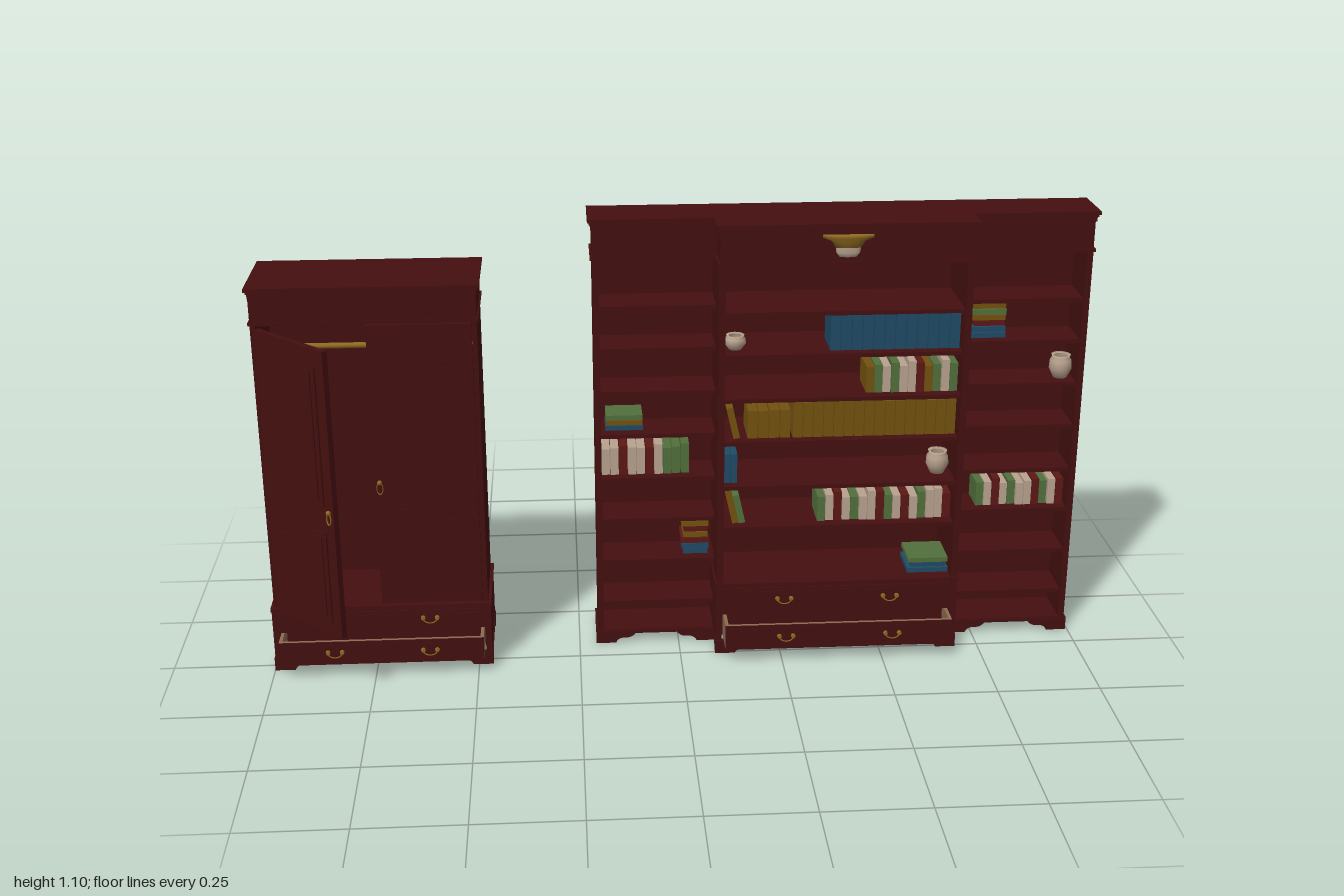
import * as THREE from 'three';

const mat = (name, color, side = THREE.FrontSide) => {
  const m = new THREE.MeshStandardMaterial({ color, side });
  m.name = name;
  return m;
};

export function createModel() {
  const wood = mat('mahogany', 0x450f10);
  const tan = mat('drawerWood', 0x8c6b52);
  const brass = mat('brass', 0x8f6a20);
  const gold = mat('goldCover', 0x74520f);
  const blue = mat('blueCover', 0x1f4b66);
  const green = mat('greenCover', 0x52703c);
  const cream = mat('cream', 0xb8a28e, THREE.DoubleSide);
  const red = mat('redCover', 0x5c1714);
  const root = new THREE.Group();

  const group = (name, parent = root) => {
    const g = new THREE.Group();
    g.name = name;
    parent.add(g);
    return g;
  };
  const mesh = (name, geo, m, parent) => {
    const o = new THREE.Mesh(geo, m);
    o.name = name;
    parent.add(o);
    return o;
  };
  // Box from its limits on each axis
  const box = (name, m, x0, x1, y0, y1, z0, z1, parent) => {
    const o = mesh(name, new THREE.BoxGeometry(x1 - x0, y1 - y0, z1 - z0), m, parent);
    o.position.set((x0 + x1) / 2, (y0 + y1) / 2, (z0 + z1) / 2);
    return o;
  };

  // Scalloped apron with a bracket foot at each end, standing on y = 0
  function apron(w, foot, t = 0.012, h = 0.034) {
    const s = new THREE.Shape();
    s.moveTo(0, h);
    s.lineTo(0, 0);
    s.lineTo(foot * 0.55, 0);
    s.quadraticCurveTo(foot * 0.6, h * 0.45, foot * 0.85, h * 0.4);
    s.quadraticCurveTo(foot, h * 0.4, foot * 1.1, h * 0.75);
    s.lineTo(w - foot * 1.1, h * 0.75);
    s.quadraticCurveTo(w - foot, h * 0.4, w - foot * 0.85, h * 0.4);
    s.quadraticCurveTo(w - foot * 0.6, h * 0.45, w - foot * 0.55, 0);
    s.lineTo(w, 0);
    s.lineTo(w, h);
    return new THREE.ExtrudeGeometry(s, { depth: t, bevelEnabled: false, curveSegments: 6 });
  }
  function feet(x0, x1, z0, z1, parent) {
    const t = 0.012;
    for (const z of [z0, z1 - t]) mesh('footApron', apron(x1 - x0, 0.09), wood, parent).position.set(x0, 0, z);
    for (const x of [x0, x1 - t]) {
      const o = mesh('sideApron', apron(z1 - z0, 0.045), wood, parent);
      o.rotation.y = -Math.PI / 2;
      o.position.set(x + t, 0, z0);
    }
  }
  // Stepped moulding that widens upward
  function cornice(x0, x1, z0, z1, y, parent) {
    [[0.003, 0.012], [0.006, 0.006], [0.01, 0.008]].forEach(([o, h]) => {
      box('cornice', wood, x0 - o, x1 + o, y, y + h, z0 - o, z1 + o, parent);
      y += h;
    });
  }
  // Brass bail pull
  function pull(x, y, z, parent) {
    const g = group('drawerPull', parent);
    g.position.set(x, y, z);
    const bail = mesh('bail', new THREE.TorusGeometry(0.017, 0.002, 6, 12, Math.PI), brass, g);
    bail.rotation.z = Math.PI;
    bail.scale.y = 0.75;
    bail.position.z = 0.005;
    for (const s of [-1, 1]) {
      const r = mesh('rosette', new THREE.CylinderGeometry(0.005, 0.006, 0.006, 10), brass, g);
      r.rotation.x = Math.PI / 2;
      r.position.set(s * 0.017, 0, 0.003);
    }
  }
  // Closed drawer front, or an open tray with a thin wooden front
  function drawer(x0, x1, y0, y1, z, out, pulls, parent) {
    const g = group('drawer', parent), f = z + out, t = 0.008;
    if (out > 0.02) {
      box('drawerBottom', tan, x0, x1, y0, y0 + 0.006, z - 0.1, f, g);
      for (const x of [x0, x1 - t]) box('drawerSide', tan, x, x + t, y0, y1, z - 0.1, f, g);
      box('drawerInnerFront', tan, x0, x1, y0, y1, f - t, f, g);
    }
    box('drawerFront', wood, x0, x1, y0, y1, f, f + 0.004, g);
    box('drawerField', wood, x0 + 0.01, x1 - 0.01, y0 + 0.008, y1 - 0.008, f, f + 0.006, g);
    for (const x of pulls) pull(x, (y0 + y1) / 2 + 0.004, f + 0.006, g);
  }

  // ---- Wardrobe ----
  const W = group('wardrobe');
  feet(-1, -0.465, -0.205, 0.027, W);
  box('base', wood, -0.998, -0.467, 0.032, 0.1, -0.203, -0.02, W);
  box('baseUpper', wood, -0.998, -0.467, 0.1, 0.158, -0.203, 0.024, W);
  for (const x of [-0.998, -0.482]) box('baseStile', wood, x, x + 0.015, 0.03, 0.1, -0.03, 0.024, W);
  box('baseLedge', wood, -1, -0.465, 0.158, 0.167, -0.205, 0.027, W);
  drawer(-0.98, -0.485, 0.107, 0.153, 0.024, 0, [-0.845, -0.615], W);
  drawer(-0.98, -0.485, 0.036, 0.096, 0.024, 0.046, [-0.845, -0.615], W);
  box('backPanel', wood, -0.992, -0.473, 0.165, 0.96, -0.2, -0.188, W);
  for (const x of [-0.992, -0.485]) box('sidePanel', wood, x, x + 0.012, 0.165, 0.96, -0.2, 0.018, W);
  box('frieze', wood, -0.992, -0.473, 0.885, 0.96, -0.2, 0.018, W);
  box('friezeBead', wood, -0.996, -0.469, 0.885, 0.893, -0.204, 0.022, W);
  cornice(-0.99, -0.475, -0.2, 0.017, 0.949, W);
  const rod = mesh('hangingRail', new THREE.CylinderGeometry(0.007, 0.007, 0.5, 12), brass, W);
  rod.rotation.z = Math.PI / 2;
  rod.position.set(-0.732, 0.8, -0.085);

  // Raised panel whose top sweeps up toward the meeting edge
  function sweptPanel(s, inset, y0, yLow, yHigh, depth) {
    const a = (0.035 + inset) * s, b = (0.215 - inset) * s, p = new THREE.Shape();
    p.moveTo(a, y0 + inset);
    p.lineTo(b, y0 + inset);
    p.lineTo(b, yHigh - inset);
    p.bezierCurveTo(0.12 * s, yHigh - inset, 0.13 * s, yLow - inset, a, yLow - inset);
    return new THREE.ExtrudeGeometry(p, { depth, bevelEnabled: false, curveSegments: 10 });
  }
  function door(name, s, x, z, angle) {
    const g = group(name, W), e = 0.244 * s;
    g.position.set(x, 0, z);
    g.rotation.y = angle;
    box('doorLeaf', wood, Math.min(0, e), Math.max(0, e), 0.17, 0.88, -0.007, 0.004, g);
    for (const [y0, lo, hi] of [[0.5, 0.79, 0.84], [0.205, 0.39, 0.435]]) {
      mesh('panelMoulding', sweptPanel(s, 0, y0, lo, hi, 0.004), wood, g).position.z = 0.004;
      mesh('raisedPanel', sweptPanel(s, 0.014, y0, lo, hi, 0.007), wood, g).position.z = 0.004;
    }
    // Inner frame
    for (const y of [0.17, 0.86]) box('innerRail', wood, Math.min(0, e), Math.max(0, e), y, y + 0.02, -0.01, -0.007, g);
    for (const u of [0, 0.224]) {
      const c = (u + 0.01) * s;
      box('innerStile', wood, c - 0.01, c + 0.01, 0.17, 0.88, -0.01, -0.007, g);
    }
    const h = mesh('doorPull', new THREE.TorusGeometry(0.015, 0.002, 6, 12), brass, g);
    h.scale.x = 0.5;
    h.position.set(0.232 * s, 0.475, 0.009);
    mesh('knob', new THREE.SphereGeometry(0.006, 10, 8), brass, g).position.set(0.232 * s, 0.49, 0.009);
  }
  door('openDoor', 1, -0.978, 0.028, -Math.PI / 4);
  door('closedDoor', -1, -0.486, 0.014, 0);

  // ---- Bookcase ----
  const B = group('bookcase');
  const wings = [[-0.203, 0.09], [0.69, 0.99]];
  const levels = [0.337, 0.445, 0.56, 0.67, 0.78, 0.885];
  box('backPanel', wood, -0.203, 0.99, 0.03, 1.0, -0.195, -0.183, B);
  for (const [x0, x1] of wings) {
    feet(x0 - 0.005, x1 + 0.005, -0.198, -0.066, B);
    for (const y of [0.036, 0.112, 0.225, ...levels])
      box('wingShelf', wood, x0, x1, y - 0.01, y, -0.185, -0.075, B);
    box('wingPlinth', wood, x0, x1, 0.024, 0.036, -0.198, -0.07, B);
  }
  for (const x of [-0.203, 0.975]) box('outerSide', wood, x, x + 0.015, 0.03, 1.0, -0.195, -0.07, B);
  for (const x of [0.09, 0.674]) box('centreSide', wood, x, x + 0.016, 0.18, 1.0, -0.195, 0.003, B);
  for (const y of levels) box('centreShelf', wood, 0.1, 0.68, y - 0.01, y, -0.185, -0.005, B);

  // Centre drawer section
  feet(0.087, 0.693, -0.199, 0.008, B);
  box('centreBase', wood, 0.088, 0.692, 0.032, 0.105, -0.197, -0.03, B);
  box('centreBaseUpper', wood, 0.088, 0.692, 0.105, 0.182, -0.197, 0.003, B);
  for (const x of [0.088, 0.677]) box('baseStile', wood, x, x + 0.015, 0.03, 0.105, -0.04, 0.003, B);
  box('centreLedge', wood, 0.086, 0.694, 0.182, 0.19, -0.197, 0.008, B);
  drawer(0.108, 0.672, 0.112, 0.176, 0.003, 0, [0.258, 0.522], B);
  drawer(0.108, 0.672, 0.036, 0.1, 0.003, 0.055, [0.258, 0.522], B);

  // Frieze and crown, stepping forward at the centre
  for (const [x0, x1, z] of [[-0.203, 0.99, -0.072], [0.092, 0.688, 0.003]]) {
    box('frieze', wood, x0, x1, 1.0, 1.09, -0.19, z, B);
    box('friezeBead', wood, x0 - 0.005, x1 + 0.005, 1.0, 1.008, -0.193, z + 0.004, B);
    cornice(x0, x1, -0.188, z, 1.074, B);
  }
  // Half-round lamp on the frieze
  const lamp = group('lamp', B);
  lamp.position.set(0.39, 1.0, 0.003);
  lamp.scale.z = 0.25;
  const turned = (name, pts, m) => mesh(name, new THREE.LatheGeometry(pts.map(p => new THREE.Vector2(...p)), 20), m, lamp);
  turned('lampShade', [[0, 0.04], [0.03, 0.042], [0.04, 0.058], [0.06, 0.066], [0.06, 0.074], [0, 0.074]], brass);
  turned('lampBowl', [[0, 0.018], [0.02, 0.02], [0.028, 0.03], [0.03, 0.045]], cream);

  // ---- Books and pots ----
  let seed = 7;
  const rnd = () => (seed = (seed * 16807) % 2147483647) / 2147483647;
  const Z = { wing: [-0.18, -0.1], centre: [-0.13, -0.03] };

  function bookRow(x0, x1, y, h, n, colours, where, vary = 0) {
    const g = group('bookRow', B), w = (x1 - x0) / n, [z0, z1] = Z[where];
    for (let i = 0; i < n; i++)
      box('book', colours[i % colours.length], x0 + i * w, x0 + (i + 0.92) * w, y,
        y + h * (1 - vary * rnd()), z0, z1 - vary * 0.03 * rnd(), g);
  }
  function bookStack(x0, x1, y, h, colours, where) {
    const g = group('bookStack', B), t = h / colours.length, [z0, z1] = Z[where];
    colours.forEach((m, i) => {
      const d = 0.012 * rnd();
      box('book', m, x0 + d, x1 - d / 2, y + i * t, y + (i + 0.9) * t, z0, z1 - d / 2, g);
    });
  }
  function leaningBook(x, y, h, m) {
    const o = box('leaningBook', m, x - 0.008, x + 0.008, y, y + h, -0.13, -0.03, B);
    o.rotation.z = 0.22;
  }
  function pot(x, y, z, r, h) {
    const pts = [[0, 0], [0.6, 0], [1, 0.4], [0.95, 0.75], [0.75, 0.9], [0.85, 1], [0.6, 0.95]];
    mesh('pot', new THREE.LatheGeometry(pts.map(([a, b]) => new THREE.Vector2(a * r, b * h)), 18), cream, B).position.set(x, y, z);
  }
  const mixed = [green, cream, red, cream, green, cream, cream, red];
  bookRow(0.36, 0.673, 0.78, 0.098, 12, [blue], 'centre');
  bookRow(0.45, 0.673, 0.67, 0.08, 11, [gold, green, cream, green, cream, cream, red], 'centre', 0.2);
  bookRow(0.275, 0.673, 0.56, 0.093, 16, [gold], 'centre', 0.05);
  bookRow(0.165, 0.27, 0.56, 0.072, 4, [gold], 'centre', 0.05);
  leaningBook(0.13, 0.56, 0.08, gold);
  bookRow(0.108, 0.142, 0.445, 0.075, 2, [blue], 'centre');
  leaningBook(0.128, 0.337, 0.09, gold);
  leaningBook(0.146, 0.337, 0.075, green);
  bookRow(0.34, 0.673, 0.337, 0.076, 16, mixed, 'centre', 0.25);
  bookStack(0.57, 0.673, 0.19, 0.04, [blue, blue, green], 'centre');
  bookRow(-0.187, 0.03, 0.445, 0.078, 10, [cream, cream, red, cream, cream, red, cream, green, green, green], 'wing', 0.15);
  bookStack(-0.187, -0.08, 0.56, 0.04, [blue, gold, green], 'wing');
  bookStack(0.005, 0.08, 0.225, 0.09, [blue, blue, red, gold, red, gold], 'wing');
  bookStack(0.71, 0.8, 0.78, 0.088, [blue, blue, red, gold, green, gold], 'wing');
  bookRow(0.75, 0.972, 0.337, 0.076, 11, mixed, 'wing', 0.25);
  pot(0.135, 0.78, -0.06, 0.026, 0.035);
  pot(0.64, 0.445, -0.07, 0.028, 0.058);
  pot(0.945, 0.67, -0.12, 0.028, 0.058);

  return root;
}
